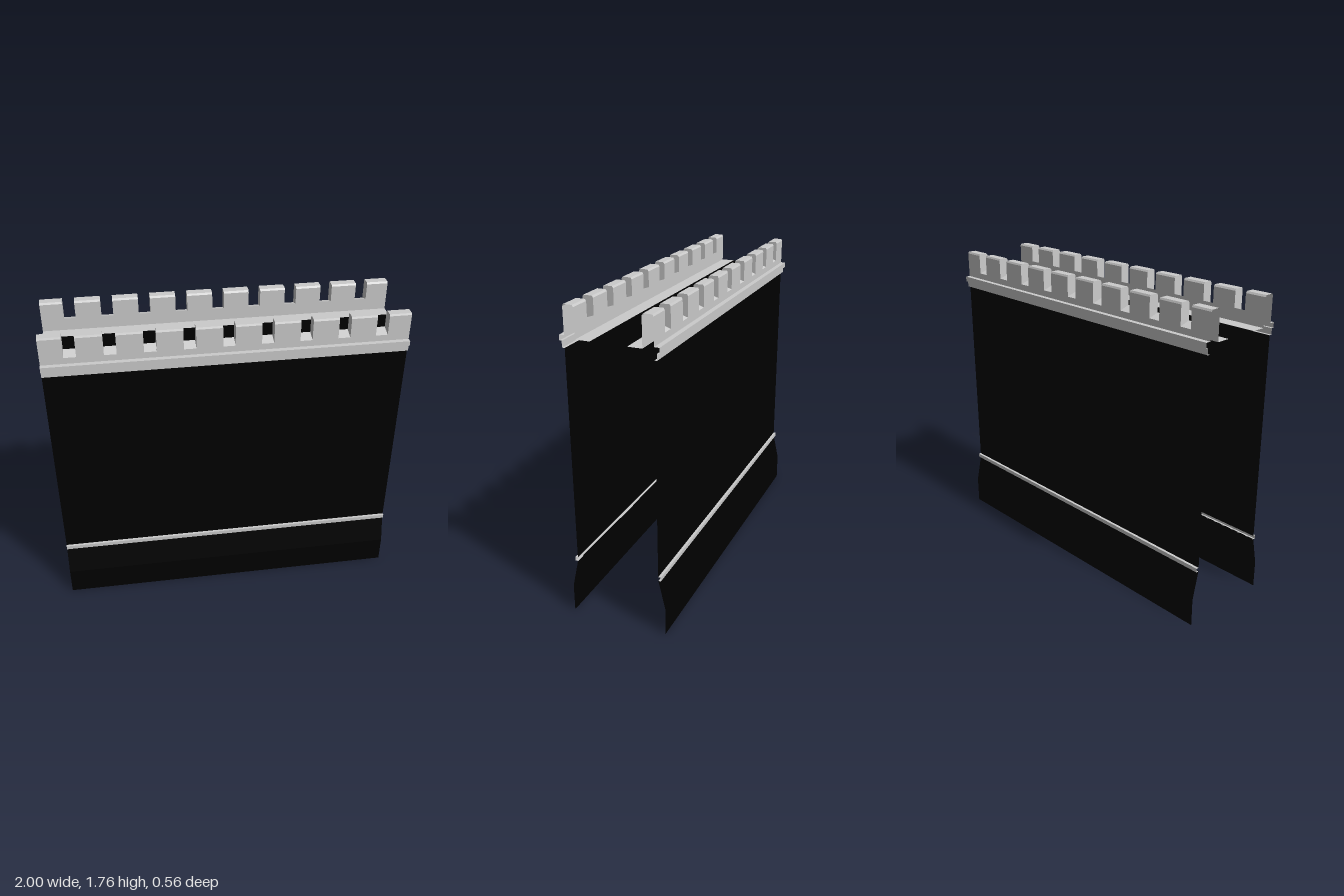
import * as THREE from 'three';

const grey = new THREE.MeshStandardMaterial({ color: 0xcccccc, side: THREE.DoubleSide, flatShading: true });
const black = new THREE.MeshStandardMaterial({ color: 0x000000, side: THREE.DoubleSide, flatShading: true });

// Sweeps an open [z, y] profile along x from x0 to x1
function strip(name, profile, material, x0 = -1, x1 = 1) {
  const pos = [];
  for (let i = 0; i < profile.length - 1; i++) {
    const [z0, y0] = profile[i], [z1, y1] = profile[i + 1];
    pos.push(x0, y0, z0, x1, y0, z0, x1, y1, z1, x0, y0, z0, x1, y1, z1, x0, y1, z1);
  }
  const geo = new THREE.BufferGeometry();
  geo.setAttribute('position', new THREE.Float32BufferAttribute(pos, 3));
  geo.computeVertexNormals();
  const mesh = new THREE.Mesh(geo, material);
  mesh.name = name;
  return mesh;
}

// Flat merlon cheek at x, facing along dir
function cheek(profile, x, dir) {
  const shape = new THREE.Shape(profile.map(([z, y]) => new THREE.Vector2(-z * dir, y)));
  const mesh = new THREE.Mesh(new THREE.ShapeGeometry(shape), grey);
  mesh.name = 'merlonCheek';
  mesh.rotation.y = dir * Math.PI / 2;
  mesh.position.x = x;
  return mesh;
}

const MERLON = [[0.24, 1.64], [0.24, 1.75], [0.235, 1.76], [0.187, 1.76], [0.18, 1.75], [0.18, 1.66]];
const GAPS = 9, PITCH = 0.2107, GAP = 0.067;

// One long face of the wall with its parapet
function createSide(name) {
  const side = new THREE.Group();
  side.name = name;

  // wall face, flared plinth and mouldings
  side.add(strip('plinth', [[0.278, 0], [0.278, 0.16], [0.24, 0.33]], black));
  side.add(strip('ledge', [[0.24, 0.327], [0.255, 0.327], [0.255, 0.35], [0.24, 0.35]], grey));
  side.add(strip('wallFace', [[0.24, 0.35], [0.24, 1.54]], black));
  side.add(strip('cornice', [[0.24, 1.54], [0.255, 1.54], [0.255, 1.575], [0.268, 1.575], [0.268, 1.605], [0.24, 1.605]], grey));

  // parapet base and walkway
  side.add(strip('parapetOuter', [[0.24, 1.605], [0.24, 1.64]], grey));
  side.add(strip('parapetInner', [[0.18, 1.66], [0.18, 1.59], [0.1, 1.59]], grey));

  // merlons with sloping crenel floors between them
  let x = -1;
  for (let i = 0; i <= GAPS; i++) {
    const centre = (i - (GAPS - 1) / 2) * PITCH;
    const end = i < GAPS ? centre - GAP / 2 : 1;
    side.add(strip('merlon', MERLON, grey, x, end));
    if (i > 0) side.add(cheek(MERLON, x, -1));
    if (i < GAPS) {
      side.add(cheek(MERLON, end, 1));
      x = centre + GAP / 2;
      side.add(strip('crenelFloor', [[0.24, 1.64], [0.18, 1.66]], grey, end, x));
    }
  }
  return side;
}

export function createModel() {
  const model = new THREE.Group();
  model.name = 'battlementWall';
  const front = createSide('frontSide');
  const back = createSide('backSide');
  back.rotation.y = Math.PI;
  model.add(front, back);
  // dark deck between the walkways
  model.add(strip('deck', [[0.1, 1.59], [-0.1, 1.59]], black));
  return model;
}
